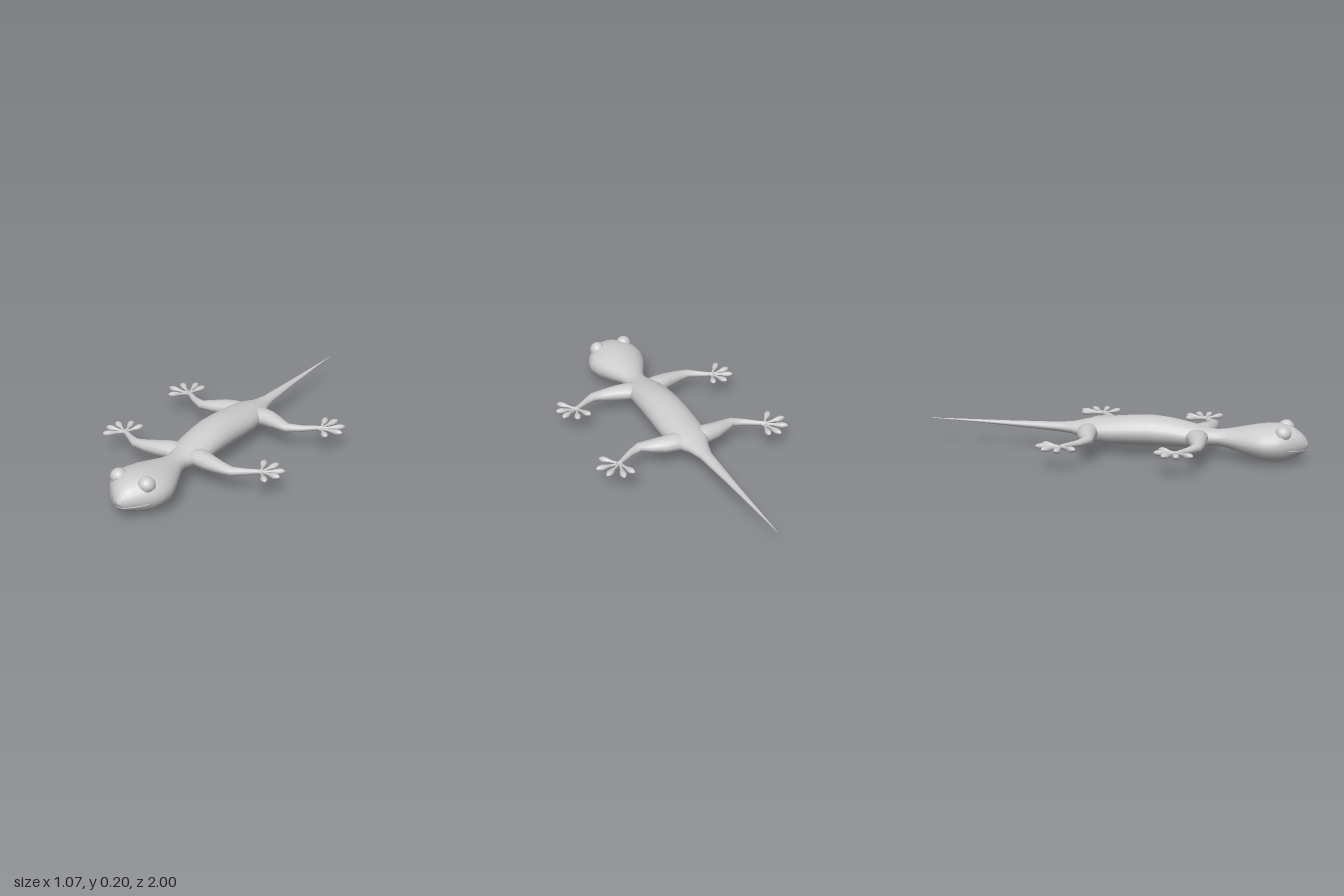
import * as THREE from 'three';

const material = new THREE.MeshStandardMaterial({ color: 0xcccccc });
const UP = new THREE.Vector3(0, 1, 0);

// Skin of elliptical rings along a level path: each ring is [x, y, z, halfWidth, halfHeight]
function loft(name, rings, sides) {
  const pos = [], index = [], n = rings.length;
  const centre = rings.map(r => new THREE.Vector3(r[0], r[1], r[2]));
  for (let i = 0; i < n; i++) {
    const t = centre[Math.min(i + 1, n - 1)].clone().sub(centre[Math.max(i - 1, 0)]).setY(0).normalize();
    const s = new THREE.Vector3().crossVectors(UP, t);
    for (let j = 0; j < sides; j++) {
      const a = j / sides * Math.PI * 2;
      const p = centre[i].clone().addScaledVector(s, Math.cos(a) * rings[i][3]).addScaledVector(UP, Math.sin(a) * rings[i][4]);
      pos.push(p.x, p.y, p.z);
    }
  }
  const at = (i, j) => i * sides + j % sides;
  for (let i = 0; i < n - 1; i++) for (let j = 0; j < sides; j++) {
    index.push(at(i, j), at(i, j + 1), at(i + 1, j), at(i, j + 1), at(i + 1, j + 1), at(i + 1, j));
  }
  // End caps
  pos.push(...centre[0].toArray(), ...centre[n - 1].toArray());
  for (let j = 0; j < sides; j++) {
    index.push(n * sides, at(0, j + 1), at(0, j));
    index.push(n * sides + 1, at(n - 1, j), at(n - 1, j + 1));
  }
  const g = new THREE.BufferGeometry();
  g.setAttribute('position', new THREE.Float32BufferAttribute(pos, 3));
  g.setIndex(index);
  g.computeVertexNormals();
  return named(name, g);
}

function named(name, geometry) {
  const m = new THREE.Mesh(geometry, material);
  m.name = name;
  return m;
}

// Tail tip to snout: [z, halfWidth, bottom, top]
const PROFILE = [
  [-1, 0.001, 0.129, 0.131], [-0.8, 0.009, 0.122, 0.134], [-0.55, 0.02, 0.11, 0.138],
  [-0.3, 0.034, 0.096, 0.144], [-0.22, 0.055, 0.09, 0.15], [-0.16, 0.085, 0.07, 0.165],
  [-0.1, 0.1, 0.054, 0.178], [0, 0.108, 0.045, 0.19], [0.1, 0.108, 0.046, 0.2],
  [0.2, 0.106, 0.047, 0.206], [0.3, 0.102, 0.049, 0.197], [0.4, 0.097, 0.05, 0.178],
  [0.46, 0.085, 0.054, 0.163], [0.51, 0.066, 0.064, 0.152], [0.55, 0.058, 0.066, 0.15],
  [0.6, 0.074, 0.058, 0.156], [0.67, 0.11, 0.038, 0.17], [0.74, 0.142, 0.018, 0.184],
  [0.8, 0.158, 0.006, 0.192], [0.85, 0.152, 0.003, 0.194], [0.89, 0.132, 0.01, 0.188],
  [0.93, 0.1, 0.025, 0.175], [0.965, 0.063, 0.044, 0.152], [0.988, 0.034, 0.06, 0.128],
  [1, 0.008, 0.085, 0.1],
];

// Depth of the face surface at a given x and y
function faceZ(x, y) {
  let lo = 0.8, hi = 1;
  for (let k = 0; k < 24; k++) {
    const z = (lo + hi) / 2;
    const i = Math.max(1, PROFILE.findIndex(p => p[0] >= z));
    const a = PROFILE[i - 1], b = PROFILE[i], f = (z - a[0]) / (b[0] - a[0]);
    const [w, bot, top] = [1, 2, 3].map(c => a[c] + (b[c] - a[c]) * f);
    const inside = (x / w) ** 2 + ((y - (top + bot) / 2) / ((top - bot) / 2)) ** 2 < 1;
    if (inside) lo = z; else hi = z;
  }
  return lo;
}

// Leg paths and toe tips for the +x side
const LEGS = {
  front: {
    path: [[0.02, 0.115, 0.445, 0.065, 0.035], [0.09, 0.115, 0.452, 0.056, 0.043], [0.15, 0.113, 0.468, 0.046, 0.04],
      [0.22, 0.112, 0.48, 0.035, 0.031], [0.285, 0.112, 0.483, 0.026, 0.023], [0.34, 0.112, 0.452, 0.017, 0.017],
      [0.385, 0.113, 0.424, 0.012, 0.013], [0.42, 0.114, 0.41, 0.01, 0.009]],
    palm: [0.405, 0.413],
    toes: [[0.365, 0.315], [0.44, 0.305], [0.505, 0.355], [0.515, 0.425], [0.48, 0.5]],
  },
  hind: {
    path: [[0.02, 0.115, -0.11, 0.06, 0.04], [0.08, 0.118, -0.112, 0.056, 0.046], [0.14, 0.117, -0.106, 0.05, 0.042],
      [0.2, 0.116, -0.088, 0.04, 0.032], [0.265, 0.115, -0.07, 0.027, 0.023], [0.33, 0.115, -0.102, 0.018, 0.017],
      [0.39, 0.116, -0.145, 0.012, 0.013], [0.425, 0.118, -0.165, 0.01, 0.009]],
    palm: [0.41, -0.157],
    toes: [[0.38, -0.27], [0.44, -0.285], [0.51, -0.235], [0.535, -0.157], [0.485, -0.075]],
  },
};

// Toe: [fraction along, halfWidth, halfHeight], a thin stalk with a padded tip
const TOE = [[0, 0.008, 0.008], [0.3, 0.007, 0.007], [0.45, 0.009, 0.009], [0.62, 0.016, 0.013],
  [0.78, 0.019, 0.015], [0.92, 0.013, 0.011], [1, 0.003, 0.003]];

function leg(label, side, { path, palm, toes }) {
  const g = new THREE.Group();
  g.name = label;
  g.add(loft('limb', path.map(([x, ...r]) => [x * side, ...r]), 12));
  const pad = named('palm', new THREE.SphereGeometry(0.018, 12, 8));
  pad.position.set(palm[0] * side, 0.114, palm[1]);
  pad.scale.y = 0.65;
  g.add(pad);
  for (const tip of toes) {
    g.add(loft('toe', TOE.map(([f, w, h]) => [
      side * (palm[0] + (tip[0] - palm[0]) * f), 0.113 + 0.006 * f, palm[1] + (tip[1] - palm[1]) * f, w, h]), 8));
  }
  return g;
}

function eye(label, side) {
  const g = new THREE.Group();
  g.name = label;
  g.add(named('eyeball', new THREE.SphereGeometry(0.039, 20, 14)));
  // Upper lid: a slightly larger dome with a rolled edge
  const lid = new THREE.Group();
  lid.name = 'eyelid';
  lid.add(named('lidDome', new THREE.SphereGeometry(0.042, 20, 8, 0, Math.PI * 2, 0, Math.PI / 2)));
  const edge = named('lidEdge', new THREE.TorusGeometry(0.04, 0.002, 6, 24));
  edge.rotation.x = Math.PI / 2;
  lid.add(edge);
  lid.rotation.set(-0.15, 0, side * -0.15);
  g.add(lid);
  g.position.set(side * 0.08, 0.158, 0.882);
  return g;
}

export function createModel() {
  const model = new THREE.Group();
  model.name = 'lizard';
  model.add(loft('body', PROFILE.map(([z, w, b, t]) => [0, (b + t) / 2, z, w, (t - b) / 2]), 20));

  // Mouth line following the face
  const lips = [];
  for (let i = -6; i <= 6; i++) {
    const x = i / 6 * 0.11, y = 0.069 + 0.012 * (i / 6) ** 2;
    lips.push(new THREE.Vector3(x, y, faceZ(x, y)));
  }
  model.add(named('mouth', new THREE.TubeGeometry(new THREE.CatmullRomCurve3(lips), 48, 0.0025, 6)));

  for (const [label, side] of [['left', 1], ['right', -1]]) {
    model.add(eye(label + 'Eye', side));
    model.add(leg(label + 'FrontLeg', side, LEGS.front));
    model.add(leg(label + 'HindLeg', side, LEGS.hind));
    const nostril = named(label + 'Nostril', new THREE.SphereGeometry(0.004, 8, 6));
    nostril.position.set(side * 0.02, 0.103, faceZ(side * 0.02, 0.103));
    model.add(nostril);
  }
  return model;
}
